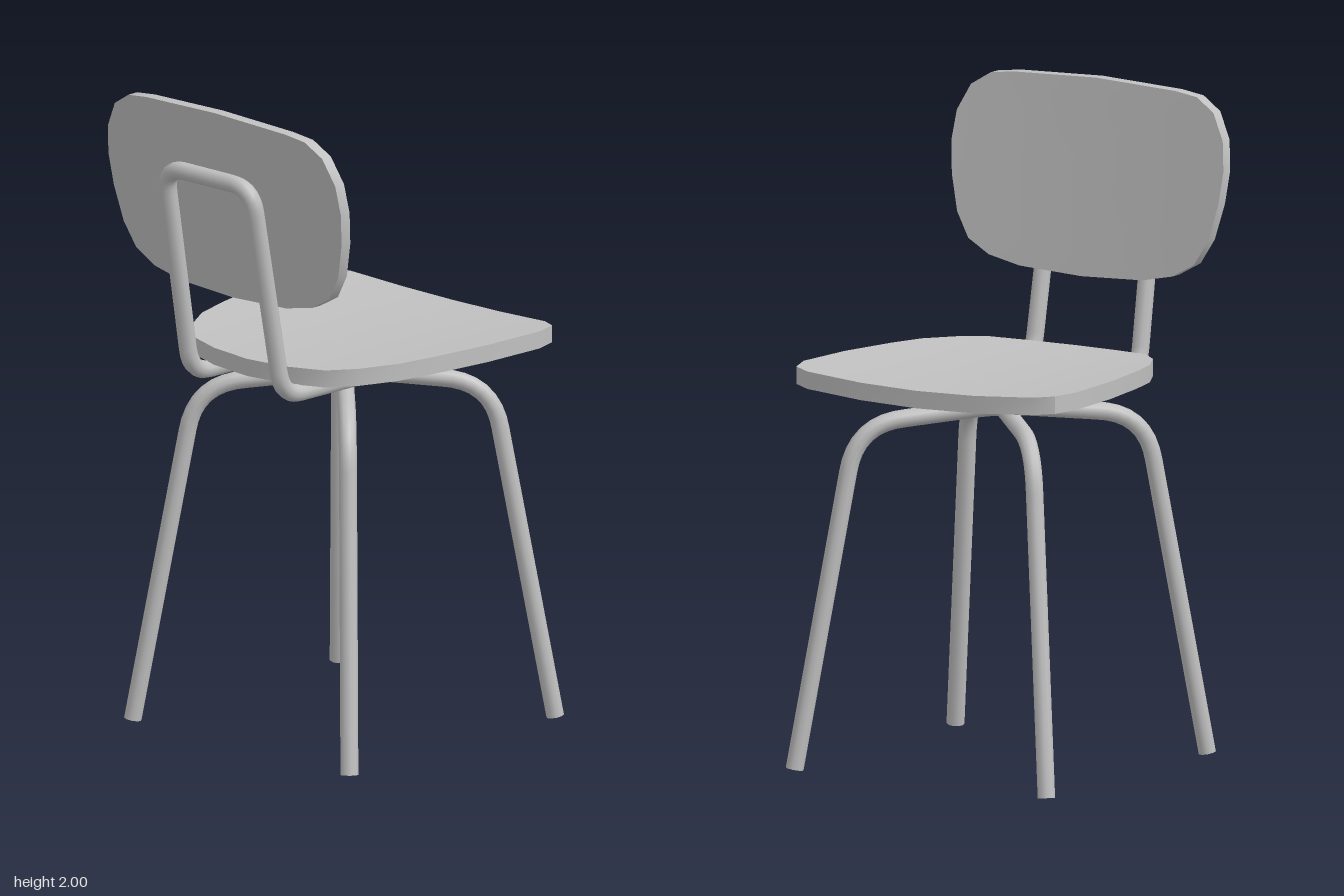
import * as THREE from 'three';
import { toCreasedNormals } from 'three/addons/utils/BufferGeometryUtils.js';

const RADIUS = 0.027;
const V = (x, y, z) => new THREE.Vector3(x, y, z);

// Path through corner points, each corner rounded by its own fillet length.
function roundedPath(corners, fillets, closed) {
  const n = corners.length;
  const path = new THREE.CurvePath();
  const toward = (a, b, d) => a.clone().add(b.clone().sub(a).setLength(d));
  let last = null, first = null;
  corners.forEach((p, i) => {
    if (!closed && (i === 0 || i === n - 1)) {
      if (last) path.add(new THREE.LineCurve3(last, p));
      last = p;
      return;
    }
    const a = toward(p, corners[(i + n - 1) % n], fillets[i]);
    const b = toward(p, corners[(i + 1) % n], fillets[i]);
    if (last) path.add(new THREE.LineCurve3(last, a));
    else first = a;
    path.add(new THREE.QuadraticBezierCurve3(a, p, b));
    last = b;
  });
  if (closed) path.add(new THREE.LineCurve3(last, first));
  return path;
}

// Slab from a mirrored half outline; place(u, v, t) maps it into space.
function panel(half, centre, place) {
  const mirror = half.slice(1, -1).reverse().map(([u, v]) => [-u, v]);
  const outline = [...half, ...mirror];
  const n = outline.length, rings = 5, pos = [];
  const point = (i, r, t) => {
    const [u, v] = outline[i % n];
    const s = r / rings;
    return place(u * s, centre + (v - centre) * s, t);
  };
  const tri = (...pts) => pts.forEach((p) => pos.push(p.x, p.y, p.z));
  for (let i = 0; i < n; i++) {
    for (let r = 0; r < rings; r++) {
      for (const t of [0, 1]) {
        const a = point(i, r, t), b = point(i, r + 1, t);
        const c = point(i + 1, r + 1, t), d = point(i + 1, r, t);
        if (t) tri(a, b, c); else tri(a, c, b);
        if (r > 0) { if (t) tri(a, c, d); else tri(a, d, c); }
      }
    }
    const a = point(i, rings, 0), b = point(i + 1, rings, 0);
    const c = point(i + 1, rings, 1), d = point(i, rings, 1);
    tri(a, b, c);
    tri(a, c, d);
  }
  const g = new THREE.BufferGeometry();
  g.setAttribute('position', new THREE.Float32BufferAttribute(pos, 3));
  return toCreasedNormals(g, 0.7);
}

export function createModel() {
  const model = new THREE.Group();
  const grey = new THREE.MeshStandardMaterial({ color: 0xc0c0c0 });
  grey.name = 'grey';
  const add = (name, geometry, parent = model) => {
    const mesh = new THREE.Mesh(geometry, grey);
    mesh.name = name;
    parent.add(mesh);
    return mesh;
  };

  // Dished seat, wide at -z and narrow toward the backrest
  const seatHalf = [[0, -0.35], [0.15, -0.335], [0.275, -0.3], [0.345, -0.23], [0.405, -0.12],
    [0.435, 0], [0.47, 0.2], [0.483, 0.41], [0.458, 0.49], [0.4, 0.52], [0.2, 0.535], [0, 0.54]];
  add('seat', panel(seatHalf, 0.1,
    (u, v, t) => V(u - 0.007, 1.152 + 0.1 * u * u + 0.053 * t, -v)));

  // Leaning backrest, gently curved around the sitter
  const backHalf = [[0, 1.41], [0.22, 1.42], [0.33, 1.443], [0.405, 1.485], [0.45, 1.56],
    [0.478, 1.67], [0.488, 1.77], [0.477, 1.86], [0.435, 1.94], [0.37, 1.98], [0.29, 1.99], [0, 2]];
  add('backrest', panel(backHalf, 1.72,
    (u, v, t) => V(u - 0.003, v, 0.46 + 0.14 * (v - 2) - 0.06 * u * u + 0.02 * u + 0.038 * t)));

  // Closed tube loop carrying the seat and backrest
  const side = (s) => [V(s * 0.185, 1.122, -0.213), V(s * 0.188, 1.132, 0.393), V(s * 0.178, 1.802, 0.515)];
  const loop = roundedPath([...side(-1), ...side(1).reverse()],
    [0.07, 0.08, 0.08, 0.08, 0.08, 0.07], true);
  const frame = add('backFrame', new THREE.TubeGeometry(loop, 160, RADIUS, 10, true));
  frame.position.x = -0.009;

  // Two bent tubes crossing under the seat make the four legs
  const legs = new THREE.Group();
  legs.name = 'legs';
  legs.position.set(-0.003, 0, -0.066);
  model.add(legs);
  for (const s of [-1, 1]) {
    const at = (h, y) => V(h, y, s * h);
    const corners = [at(-0.446, 0.008), at(-0.312, 1.045), at(0, 1.088), at(0.312, 1.045), at(0.446, 0.008)];
    const path = roundedPath(corners, [0, 0.14, 0.1, 0.14, 0], false);
    add('legPair', new THREE.TubeGeometry(path, 90, RADIUS, 10), legs);
    for (const end of [0, 1]) {
      const cap = add('footCap', new THREE.CircleGeometry(RADIUS, 10), legs);
      const dir = path.getTangentAt(end).multiplyScalar(end ? 1 : -1);
      cap.position.copy(path.getPointAt(end));
      cap.quaternion.setFromUnitVectors(V(0, 0, 1), dir);
    }
  }
  return model;
}
